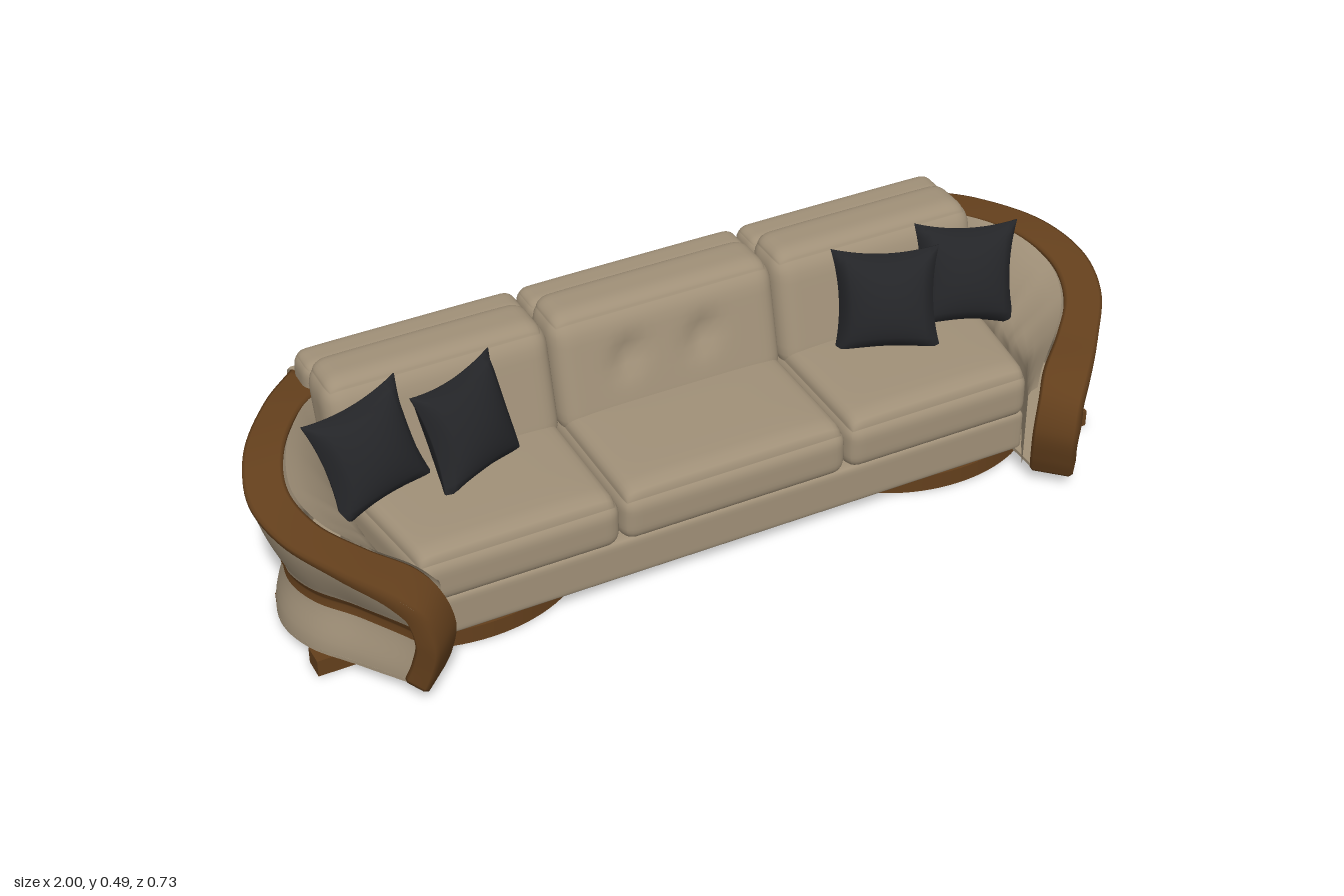
import * as THREE from 'three';
import { mergeVertices } from 'three/addons/utils/BufferGeometryUtils.js';

const V = (x, y, z) => new THREE.Vector3(x, y, z);
const { lerp, clamp, smoothstep } = THREE.MathUtils;

function smooth(geo) {
  geo.deleteAttribute('uv');
  geo.deleteAttribute('normal');
  const merged = mergeVertices(geo, 1e-5);
  merged.computeVertexNormals();
  return merged;
}

// Rounded, slightly puffed block; warp may bend each point further
function softBox(w, h, d, r, puff = 0, warp = null) {
  const geo = new THREE.BoxGeometry(2, 2, 2, 32, 16, 16);
  const pos = geo.attributes.position;
  const half = V(w / 2, h / 2, d / 2), core = half.clone().subScalar(r);
  const p = V(), c = V();
  for (let i = 0; i < pos.count; i++) {
    p.fromBufferAttribute(pos, i);
    const u = p.x, v = p.y, q = p.z;
    p.set(Math.sin(u * Math.PI / 2), Math.sin(v * Math.PI / 2), Math.sin(q * Math.PI / 2)).multiply(half);
    c.copy(p).clamp(core.clone().negate(), core);
    p.sub(c).setLength(p.length() > 0 ? r : 0).add(c);
    if (v > 0) p.y += puff * v * (1 - u ** 4) * (1 - q ** 4);
    if (warp) warp(p);
    pos.setXYZ(i, p.x, p.y, p.z);
  }
  return smooth(geo);
}

// Surface through rows of points
function loft(rows, closed = false) {
  const n = rows[0].length, index = [];
  for (let i = 0; i < rows.length - 1; i++) {
    for (let j = 0; j < (closed ? n : n - 1); j++) {
      const a = i * n + j, b = i * n + (j + 1) % n;
      index.push(a, a + n, b, b, a + n, b + n);
    }
  }
  const geo = new THREE.BufferGeometry().setFromPoints(rows.flat());
  geo.setIndex(index);
  geo.computeVertexNormals();
  return geo;
}

// Square throw pillow with pinched edges and pointed corners
function pillowGeometry(size, thick) {
  const geo = new THREE.BoxGeometry(2, 2, 2, 16, 16, 1);
  const pos = geo.attributes.position;
  for (let i = 0; i < pos.count; i++) {
    const u = pos.getX(i), v = pos.getY(i);
    const bulge = Math.pow((1 - u * u) * (1 - v * v), 0.45);
    pos.setXYZ(i, u * size / 2 * (1 - 0.13 * (1 - v * v)), v * size / 2 * (1 - 0.13 * (1 - u * u)),
      pos.getZ(i) * (thick / 2 * bulge + 0.002));
  }
  return smooth(geo);
}

// Arm rim: outer and inner edges, along the top and down the front
const outerEdge = new THREE.CatmullRomCurve3([
  V(0.78, 0.42, -0.335), V(0.87, 0.42, -0.25), V(0.965, 0.405, -0.12), V(1.0, 0.375, 0),
  V(0.975, 0.345, 0.11), V(0.90, 0.315, 0.215), V(0.82, 0.285, 0.305), V(0.775, 0.245, 0.347),
  V(0.755, 0.17, 0.367), V(0.763, 0.09, 0.352), V(0.775, 0.04, 0.337)]);
const innerEdge = new THREE.CatmullRomCurve3([
  V(0.74, 0.42, -0.25), V(0.81, 0.42, -0.2), V(0.885, 0.405, -0.1), V(0.915, 0.375, 0),
  V(0.89, 0.345, 0.09), V(0.82, 0.315, 0.17), V(0.74, 0.285, 0.24), V(0.705, 0.245, 0.28),
  V(0.685, 0.17, 0.297), V(0.693, 0.09, 0.285), V(0.705, 0.04, 0.27)]);
const innerSlope = [0.03, 0.06, 0.11, 0.14, 0.12, 0.06, 0.03, 0.02];
const WALL_END = 6.6;

// Arm edges at station k, with the inward direction in plan
function station(k) {
  const o = outerEdge.getPoint(k / 10), i = innerEdge.getPoint(k / 10);
  return { o, i, inward: V(i.x - o.x, 0, i.z - o.z).normalize() };
}

// Outer face: narrow waist, flared foot and top
function outerPoint(k, y, proud = 0) {
  const { o, inward } = station(k);
  const s = clamp((y - 0.175) / (o.y - 0.175), 0, 1);
  const inset = y > 0.175 ? 0.065 * Math.pow(1 - s, 1.4) : lerp(0.035, 0.065, smoothstep(y, 0.05, 0.175));
  const p = o.clone().addScaledVector(inward, inset * lerp(1, 0.4, smoothstep(k, 4.5, 7)) - proud + 0.003);
  return p.setY(y);
}

function innerPoint(k, y) {
  const { i, inward } = station(k);
  const f = Math.floor(k), depth = lerp(innerSlope[f], innerSlope[f + 1], k - f);
  const s = clamp((i.y - y) / (i.y - 0.24), 0, 1);
  return i.clone().addScaledVector(inward, depth * Math.pow(s, 0.85)).setY(y);
}

function wall(point, low, high, kStart = 0) {
  const rows = [];
  for (let a = 0; a <= 40; a++) {
    const k = lerp(kStart, WALL_END, a / 40), row = [];
    const top = high ?? station(k).o.y - 0.004;
    for (let b = 0; b <= 16; b++) row.push(point(k, lerp(low, top, b / 16)));
    rows.push(row);
  }
  return loft(rows);
}

function rimGeometry() {
  const rows = [];
  const section = [[0.08, 0], [0.92, 0], [1, 0.15], [1, 0.85], [0.92, 1], [0.08, 1], [0, 0.85], [0, 0.15]];
  for (let a = 0; a <= 80; a++) {
    const k = a / 8, { o, i } = station(k);
    const across = i.clone().sub(o);
    const along = outerEdge.getTangent(k / 10).add(innerEdge.getTangent(k / 10));
    const depth = along.cross(across).setLength(lerp(0.014, 0.055, smoothstep(k, 3.5, 8)));
    rows.push(section.map(([u, v]) => o.clone().addScaledVector(across, u).addScaledVector(depth, v)));
  }
  const cap = (row) => {
    const mid = row.reduce((m, p) => m.add(p), V()).divideScalar(row.length);
    return row.map(() => mid.clone());
  };
  return loft([cap(rows[0]), ...rows, cap(rows[80])], true);
}

export function createModel() {
  const material = (name, color) =>
    Object.assign(new THREE.MeshStandardMaterial({ color, side: THREE.DoubleSide }), { name });
  const fabric = material('beige upholstery', 0xa09078);
  const wood = material('brown wood', 0x633f1c);
  const black = material('black cloth', 0x242528);

  const model = new THREE.Group();
  model.name = 'sofa';
  const add = (parent, name, geo, mat, x = 0, y = 0, z = 0) => {
    const mesh = new THREE.Mesh(geo, mat);
    mesh.name = name;
    mesh.position.set(x, y, z);
    parent.add(mesh);
    return mesh;
  };

  // One end of the sofa: arm, foot and pillows
  const buildEnd = (name) => {
    const end = new THREE.Group();
    end.name = name;
    add(end, 'armOuter', wall(outerPoint, 0.045), fabric);
    add(end, 'armInner', wall(innerPoint, 0.045), fabric);
    add(end, 'armRim', rimGeometry(), wood);
    add(end, 'armStripe', wall((k, y) => outerPoint(k, y, 0.004), 0.155, 0.196, 0.25), wood);

    // Foot: oval wooden ring with two brackets and a padded block between
    const ring = new THREE.Shape().absellipse(0.57, -0.04, 0.3, 0.24, 0, Math.PI * 2);
    ring.holes.push(new THREE.Path().absellipse(0.57, -0.04, 0.23, 0.175, 0, Math.PI * 2, true));
    const ringGeo = new THREE.ExtrudeGeometry(ring, { depth: 0.04, bevelEnabled: false, curveSegments: 40 });
    add(end, 'footRing', ringGeo.rotateX(Math.PI / 2), wood, 0, 0.045, 0);
    for (const z of [0.125, -0.07])
      add(end, 'footBracket', new THREE.BoxGeometry(0.12, 0.04, 0.05), wood, 0.88, 0.025, z);
    add(end, 'footBlock', new THREE.BoxGeometry(0.08, 0.035, 0.146), fabric, 0.885, 0.0265, 0.028);

    // Pillows leaning against the back
    for (const [x, y, z, yaw, roll] of [[0.72, 0.365, -0.06, -0.25, -0.08], [0.505, 0.37, -0.045, -0.45, 0.03]]) {
      const pillow = add(end, 'pillow', pillowGeometry(0.24, 0.11), black, x, y, z);
      pillow.rotation.set(-0.38, yaw, roll, 'YXZ');
    }
    model.add(end);
    return end;
  };
  buildEnd('leftEnd');
  buildEnd('rightEnd').scale.x = -1;

  // Underside panel following the arms
  const foot = [];
  for (let a = 0; a <= 20; a++) foot.push(outerPoint(a / 20 * WALL_END, 0.046));
  foot.push(V(0.71, 0, 0.27), V(0.71, 0, 0.19));
  const outline = [...foot, ...foot.map((p) => V(-p.x, 0, p.z)).reverse()];
  const under = new THREE.Shape(outline.map((p) => new THREE.Vector2(p.x, p.z)));
  add(model, 'underside', new THREE.ExtrudeGeometry(under, { depth: 0.008, bevelEnabled: false })
    .rotateX(Math.PI / 2), fabric, 0, 0.053, 0);
  add(model, 'base', softBox(1.46, 0.105, 0.5, 0.015), fabric, 0, 0.0975, -0.047);

  // Back shell profile in z and y, in three panels
  const back = new THREE.Shape([
    [-0.333, 0.05], [-0.33, 0.1], [-0.321, 0.15], [-0.33, 0.2], [-0.346, 0.27], [-0.362, 0.33], [-0.366, 0.37],
    [-0.358, 0.4], [-0.343, 0.414], [-0.32, 0.414], [-0.315, 0.33], [-0.295, 0.2], [-0.29, 0.15], [-0.3, 0.05],
  ].map(([z, y]) => new THREE.Vector2(-z, y)));

  for (const s of [-1, 0, 1]) {
    const w = s ? 0.51 : 0.54, x = s * 0.525;
    const shell = new THREE.ExtrudeGeometry(back, {
      depth: w - 0.004, bevelThickness: 0.004, bevelSize: 0.004, bevelSegments: 2 });
    shell.translate(0, 0, -(w - 0.004) / 2).rotateY(Math.PI / 2);
    add(model, 'backShell', shell, fabric, x, 0, 0);

    // Seat, narrowing toward the front at the outer ends
    const taper = (p) => {
      if (p.x * s > 0) p.x *= 1 - 0.2 * clamp((p.z + 0.19) / 0.38, 0, 1);
    };
    add(model, 'seatCushion', softBox(w, 0.115, 0.38, 0.035, 0.022, taper), fabric, x, 0.1975, 0.022);

    // Leaning back cushion; the middle one has two tufts
    const lean = (p) => {
      if (!s && p.z > 0) for (const tx of [-0.1, 0.08])
        p.z -= 0.02 * Math.exp(-((p.x - tx) ** 2 + (p.y - 0.02) ** 2) / 0.0012);
      p.z -= 0.25 * p.y;
    };
    add(model, 'backCushion', softBox(w, 0.265, 0.14, 0.045, 0.008, lean), fabric, x, 0.355, -0.168);
    add(model, 'rearRoll', softBox(w, 0.15, 0.095, 0.03, 0.004), fabric, x, 0.398, -0.287);
  }
  return model;
}
